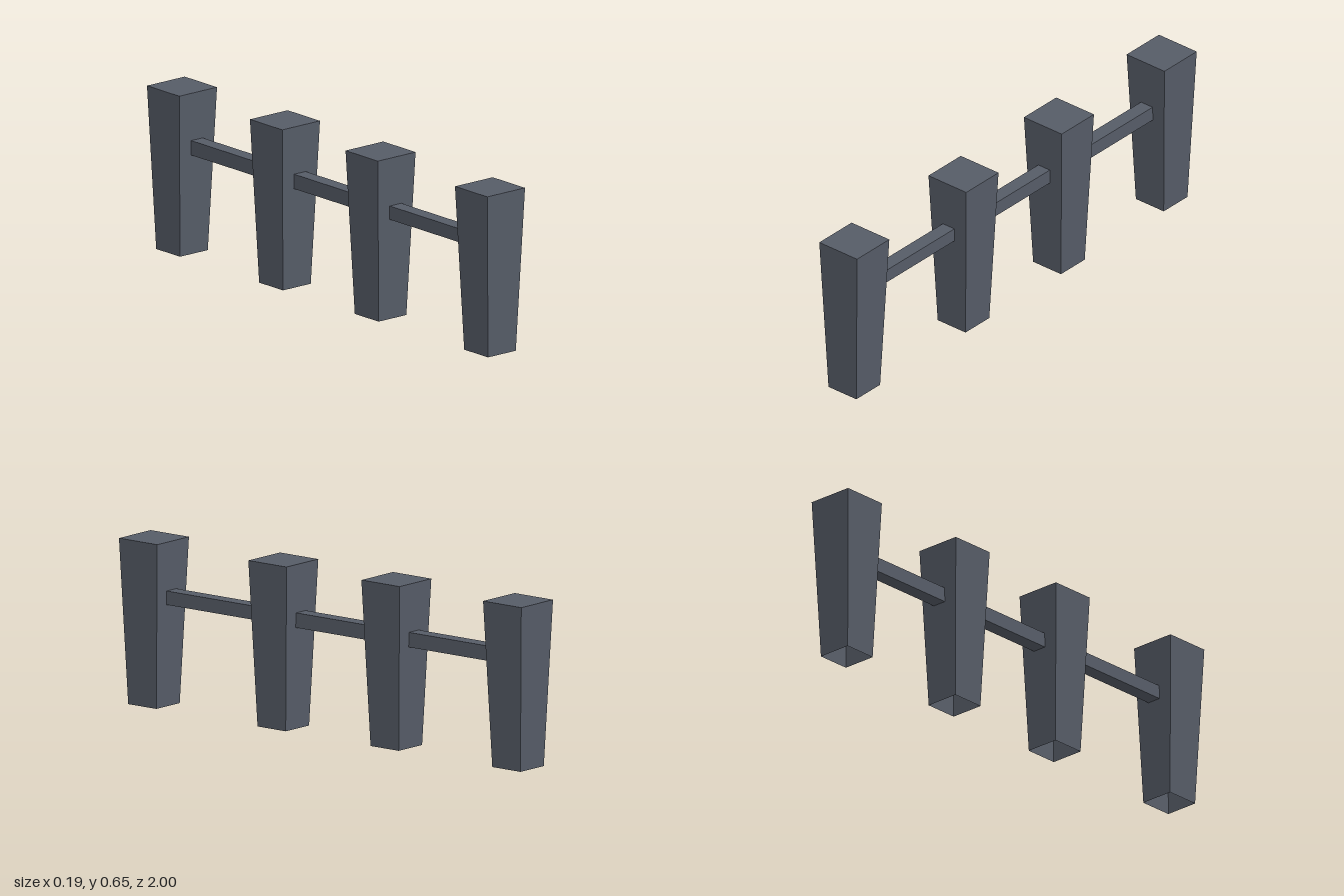
import * as THREE from 'three';

const HEIGHT = 0.65, TOP = 0.19, BOTTOM = 0.14;
const BAR_Y = 0.43, BAR_SIZE = 0.058;

// Tapered square post, open underneath
function postGeometry() {
  const g = new THREE.CylinderGeometry(TOP / Math.SQRT2, BOTTOM / Math.SQRT2, HEIGHT, 4, 1, true);
  g.rotateY(Math.PI / 4);
  g.translate(0, HEIGHT / 2, 0);
  return g.toNonIndexed();
}

export function createModel() {
  const model = new THREE.Group();
  model.name = 'postFence';
  const slate = new THREE.MeshStandardMaterial({
    color: 0x565c67, flatShading: true, side: THREE.DoubleSide,
  });
  slate.name = 'slateGrey';

  // Posts with flat caps
  const postZ = [0.905, 0.262, -0.3, -0.905];
  const wall = postGeometry();
  const cap = new THREE.PlaneGeometry(TOP, TOP).rotateX(-Math.PI / 2).translate(0, HEIGHT, 0);
  postZ.forEach((z, i) => {
    const post = new THREE.Group();
    post.name = `post${i + 1}`;
    const sides = new THREE.Mesh(wall, slate);
    sides.name = 'postSides';
    const top = new THREE.Mesh(cap, slate);
    top.name = 'postTop';
    post.add(sides, top);
    post.position.z = z;
    model.add(post);
  });

  // Rails joining neighbouring posts, ending just inside their walls
  for (let i = 0; i < postZ.length - 1; i++) {
    const length = postZ[i] - postZ[i + 1] - 0.165;
    const height = i === 0 ? 0.054 : BAR_SIZE;
    const rail = new THREE.Mesh(new THREE.BoxGeometry(BAR_SIZE, height, length), slate);
    rail.name = `rail${i + 1}`;
    rail.position.set(0, BAR_Y, (postZ[i] + postZ[i + 1]) / 2);
    model.add(rail);
  }
  return model;
}
